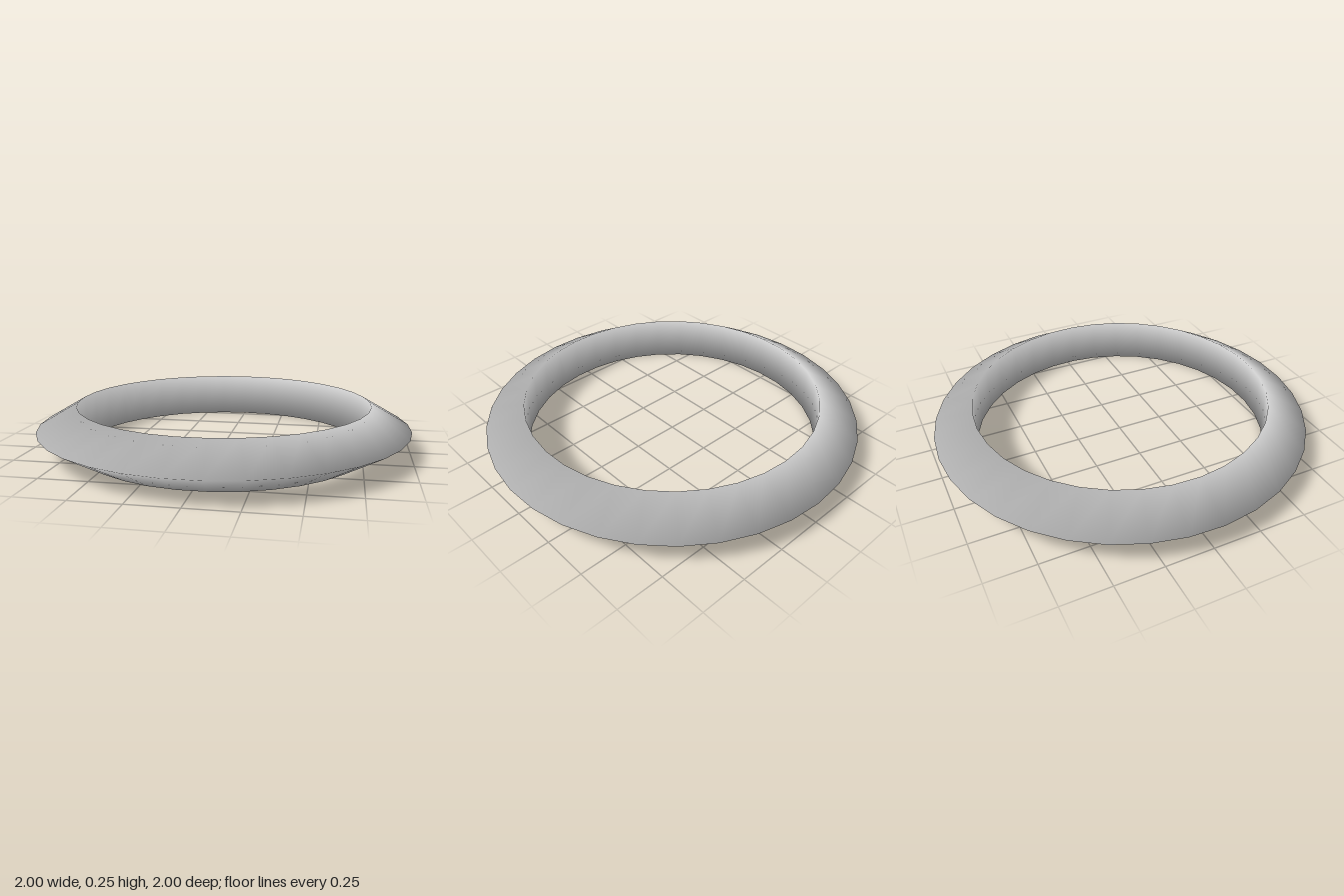
import * as THREE from 'three';

export function createModel() {
  const group = new THREE.Group();
  group.name = 'ring';

  const tubeRadius = 0.1415;
  const ringRadius = 1.001 - tubeRadius;

  // Ring with a three-sided section, sharp ridge outwards, smooth normals
  const geometry = new THREE.TorusGeometry(ringRadius, tubeRadius, 3, 35);
  geometry.rotateZ(Math.PI / 2); // first segment starts at the back
  geometry.rotateX(-Math.PI / 2); // lay the ring flat

  // Centre it and stand it on the ground
  geometry.computeBoundingBox();
  const { min, max } = geometry.boundingBox;
  geometry.translate(-(min.x + max.x) / 2, -min.y, -(min.z + max.z) / 2);

  const band = new THREE.Mesh(geometry, new THREE.MeshStandardMaterial({ color: 0xcccccc }));
  band.name = 'ringBand';
  group.add(band);
  return group;
}
